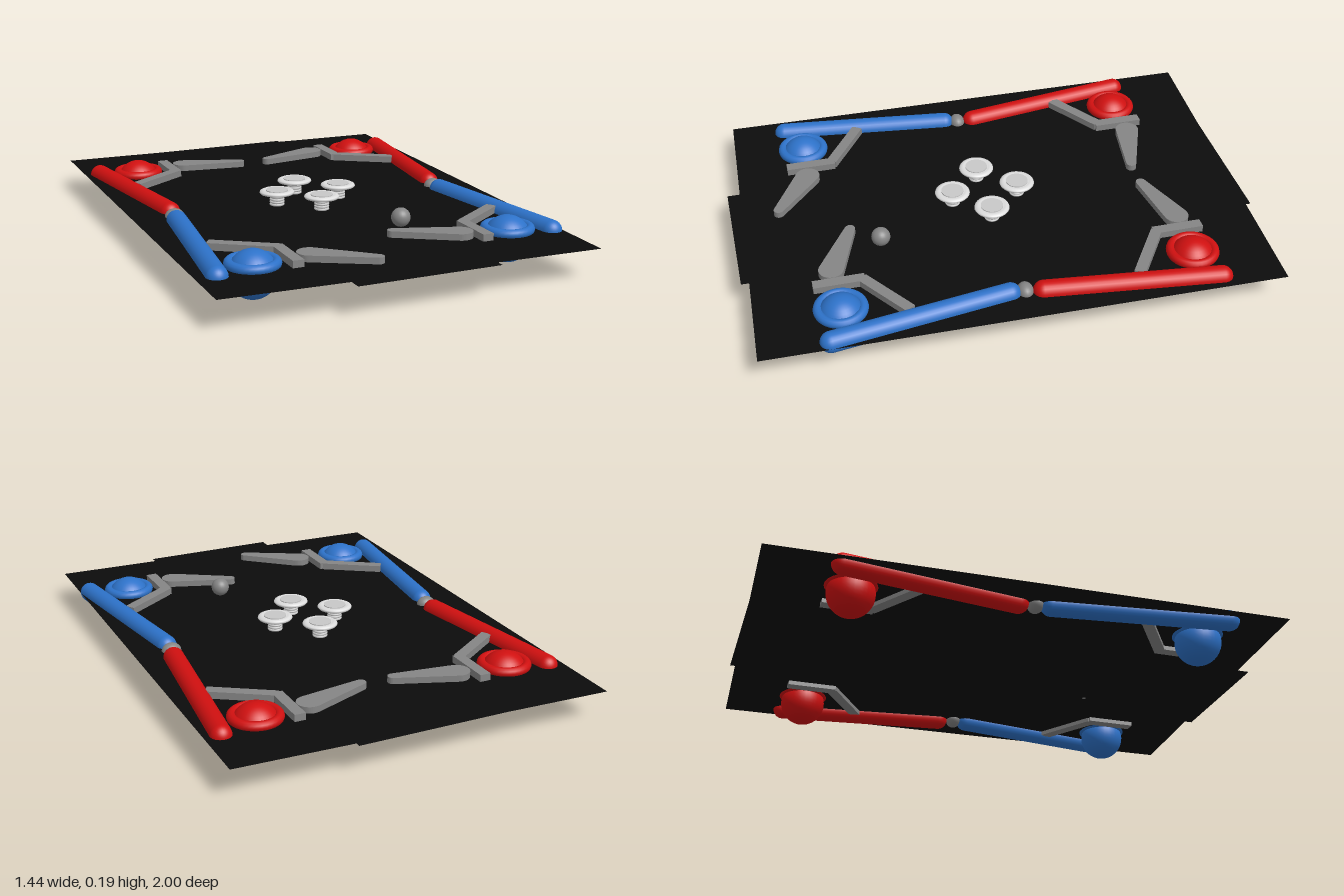
import * as THREE from 'three';

const mat = (name, color) => {
  const m = new THREE.MeshStandardMaterial({ color });
  m.name = name;
  return m;
};

export function createModel() {
  const root = new THREE.Group();
  root.name = 'pinballArena';
  const black = mat('black', 0x0c0c0c);
  black.side = THREE.DoubleSide;
  const grey = mat('grey', 0x858585);
  const red = mat('red', 0xd01010);
  const blue = mat('blue', 0x2d72c9);
  const white = mat('white', 0xdcdcdc);
  const silver = mat('silver', 0xc8c8c8);

  const FLOOR = 0.117;

  const add = (name, geo, material, x = 0, y = 0, z = 0, parent = root) => {
    const m = new THREE.Mesh(geo, material);
    m.name = name;
    m.position.set(x, y, z);
    parent.add(m);
    return m;
  };

  // flat floor: a slightly skewed sheet with a straight centre strip
  const outline = [
    [-0.70, -1.0], [-0.29, -0.985], [0.28, -0.985], [0.28, -0.966], [0.72, -0.95],
    [0.69, 0.985], [0.28, 0.97], [0.28, 1.0], [-0.26, 1.0], [-0.26, 0.952], [-0.72, 0.935],
  ];
  const floorShape = new THREE.Shape(outline.map(([x, z]) => new THREE.Vector2(x, -z)));
  add('floor', new THREE.ShapeGeometry(floorShape).rotateX(-Math.PI / 2), black, 0, FLOOR, 0);

  // rounded rail between two floor points
  const rail = (material, [x0, z0], [x1, z1]) => {
    const len = Math.hypot(x1 - x0, z1 - z0);
    const geo = new THREE.CapsuleGeometry(0.039, len, 10, 24).rotateX(Math.PI / 2);
    const m = add('sideRail', geo, material, (x0 + x1) / 2, 0.117, (z0 + z1) / 2);
    m.rotation.y = Math.atan2(x1 - x0, z1 - z0);
  };
  rail(red, [-0.547, -0.06], [-0.642, -0.718]);
  rail(blue, [-0.56, 0.06], [-0.642, 0.727]);
  rail(red, [0.575, -0.06], [0.655, -0.718]);
  rail(blue, [0.56, 0.06], [0.655, 0.727]);

  // rail joints
  for (const x of [-0.55, 0.56]) {
    add('railJoint', new THREE.SphereGeometry(0.038, 20, 14), grey, x, 0.117, 0.005).scale.set(1, 0.8, 0.8);
  }

  // flat bar between two floor points
  const bar = (name, [x0, z0], [x1, z1]) => {
    const len = Math.hypot(x1 - x0, z1 - z0);
    const m = add(name, new THREE.BoxGeometry(0.042, 0.043, len), grey,
      (x0 + x1) / 2, 0.122, (z0 + z1) / 2);
    m.rotation.y = Math.atan2(x1 - x0, z1 - z0);
  };

  // tapered flipper from pivot to tip
  const flipper = ([x0, z0], [x1, z1]) => {
    const r1 = 0.047, r2 = 0.02;
    const L = Math.hypot(x1 - x0, z1 - z0);
    const a = Math.acos((r1 - r2) / L);
    const s = new THREE.Shape();
    s.absarc(0, 0, r1, a, Math.PI * 2 - a, false);
    s.absarc(L, 0, r2, -a, a, false);
    const geo = new THREE.ExtrudeGeometry(s, { depth: 0.024, bevelEnabled: false, curveSegments: 12 });
    geo.rotateX(-Math.PI / 2);
    add('flipper', geo, grey, x0, 0.119, z0).rotation.y = Math.atan2(z0 - z1, x1 - x0);
  };

  // corners: dome with ring, bent guide and flipper
  const corners = [
    { c: red, dome: [-0.493, -0.658], bend: [-0.36, -0.56], end: [-0.36, -0.74], wall: [-0.57, -0.42], piv: [-0.287, -0.665], tip: [-0.055, -0.606] },
    { c: red, dome: [0.504, -0.658], bend: [0.375, -0.56], end: [0.375, -0.74], wall: [0.59, -0.42], piv: [0.305, -0.665], tip: [0.073, -0.602] },
    { c: blue, dome: [-0.493, 0.668], bend: [-0.36, 0.57], end: [-0.36, 0.75], wall: [-0.57, 0.43], piv: [-0.287, 0.677], tip: [-0.093, 0.815] },
    { c: blue, dome: [0.504, 0.668], bend: [0.375, 0.57], end: [0.375, 0.75], wall: [0.58, 0.43], piv: [0.305, 0.672], tip: [0.086, 0.567] },
  ];
  for (const k of corners) {
    add('cornerDome', new THREE.SphereGeometry(0.088, 32, 20), k.c, k.dome[0], 0.088, k.dome[1]);
    add('cornerRing', new THREE.TorusGeometry(0.082, 0.018, 12, 36).rotateX(Math.PI / 2), k.c,
      k.dome[0], 0.128, k.dome[1]);
    const sz = Math.sign(k.bend[1]);
    bar('guideStraight', [k.bend[0], k.bend[1] - 0.012 * sz], k.end);
    bar('guideSlant', k.bend, k.wall);
    flipper(k.piv, k.tip);
  }

  // mushroom bumpers: ribbed stem, flared cap with a raised disc
  const capProfile = [
    [0, 0.155], [0.03, 0.156], [0.05, 0.161], [0.064, 0.165], [0.068, 0.170],
    [0.066, 0.175], [0.058, 0.179], [0.050, 0.180], [0.046, 0.177], [0, 0.177],
  ].map(([r, y]) => new THREE.Vector2(r, y));
  for (const [x, z] of [[-0.007, -0.113], [-0.137, 0.02], [0.123, 0.02], [-0.004, 0.147]]) {
    const bumper = new THREE.Group();
    bumper.name = 'bumper';
    bumper.position.set(x, 0, z);
    root.add(bumper);
    add('bumperCap', new THREE.LatheGeometry(capProfile, 32), white, 0, 0, 0, bumper);
    add('bumperDisc', new THREE.CylinderGeometry(0.043, 0.043, 0.005, 32), silver, 0, 0.178, 0, bumper);
    add('bumperStem', new THREE.CylinderGeometry(0.024, 0.024, 0.04, 20), silver, 0, 0.138, 0, bumper);
    for (let i = 0; i < 4; i++) {
      add('stemRib', new THREE.TorusGeometry(0.025, 0.0045, 8, 24).rotateX(Math.PI / 2), silver,
        0, 0.123 + i * 0.01, 0, bumper);
    }
  }

  // ball
  add('ball', new THREE.SphereGeometry(0.036, 24, 16), grey, 0.173, 0.152, 0.463);

  return root;
}
